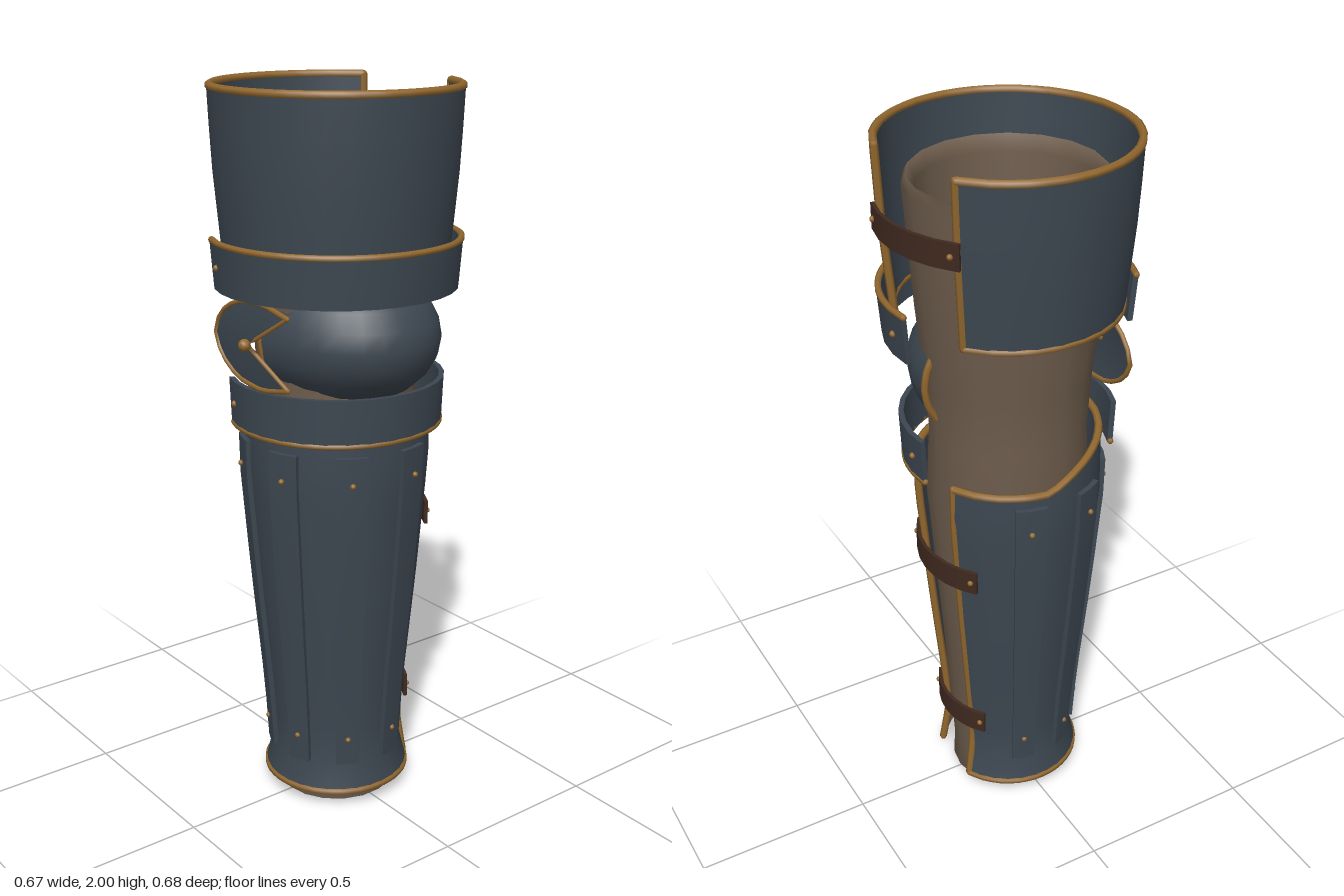
import * as THREE from 'three';
import { toCreasedNormals } from 'three/addons/utils/BufferGeometryUtils.js';

const mat = (name, color, side = THREE.FrontSide) => {
  const m = new THREE.MeshStandardMaterial({ color, side });
  m.name = name;
  return m;
};
const rad = THREE.MathUtils.degToRad;

// angle 0 faces the front (+z), 90 faces +x
const polar = (deg, r, y) => new THREE.Vector3(r * Math.sin(rad(deg)), y, r * Math.cos(rad(deg)));

// linear profile: list of [y, radius]
const profile = (pts) => (y) => {
  if (y <= pts[0][0]) return pts[0][1];
  for (let i = 1; i < pts.length; i++) {
    const [y0, r0] = pts[i - 1], [y1, r1] = pts[i];
    if (y <= y1) return r0 + (r1 - r0) * (y - y0) / (y1 - y0);
  }
  return pts[pts.length - 1][1];
};

// joins closed cross-sections swept from angle a0 to a1, with end caps
function sweep(a0, a1, section) {
  const n = Math.max(2, Math.ceil((a1 - a0) / 12));
  const loops = [];
  for (let i = 0; i <= n; i++) loops.push(section(a0 + (a1 - a0) * i / n));
  const m = loops[0].length, pos = [];
  const tri = (...v) => v.forEach((p) => pos.push(p.x, p.y, p.z));
  const quad = (a, b, c, d) => { tri(a, b, c); tri(a, c, d); };
  for (let i = 0; i < n; i++)
    for (let j = 0; j < m; j++) {
      const k = (j + 1) % m;
      quad(loops[i][j], loops[i + 1][j], loops[i + 1][k], loops[i][k]);
    }
  for (let j = 0; j < m / 2 - 1; j++) {
    const s = loops[0], e = loops[n];
    quad(s[j], s[j + 1], s[m - 2 - j], s[m - 1 - j]);
    quad(e[j], e[m - 1 - j], e[m - 2 - j], e[j + 1]);
  }
  const g = new THREE.BufferGeometry();
  g.setAttribute('position', new THREE.Float32BufferAttribute(pos, 3));
  return toCreasedNormals(g, 0.7);
}

// curved plate of given thickness between heights low and high(angle)
function plate(a0, a1, low, high, radius, thick, rows = 1) {
  return sweep(a0, a1, (a) => {
    const out = [], inn = [], top = high(a);
    for (let j = 0; j <= rows; j++) {
      const y = low + (top - low) * j / rows, r = radius(y);
      out.push(polar(a, r, y));
      inn.unshift(polar(a, r - thick, y));
    }
    return [...out, ...inn];
  });
}

export function createModel() {
  const model = new THREE.Group();
  const steel = mat('dark blue steel', 0x3d4751);
  const steelThin = mat('dark blue steel sheet', 0x3d4751, THREE.DoubleSide);
  const brass = mat('aged brass', 0x92682f);
  const cloth = mat('brown cloth', 0x6d5c4c, THREE.DoubleSide);
  const leather = mat('dark leather', 0x402a20, THREE.DoubleSide);

  const add = (name, geo, material, parent = model) => {
    const mesh = new THREE.Mesh(geo, material);
    mesh.name = name;
    parent.add(mesh);
    return mesh;
  };
  const group = (name) => {
    const g = new THREE.Group();
    g.name = name;
    model.add(g);
    return g;
  };
  const trim = (name, pts, parent, r = 0.011, closed = false) => {
    const curve = new THREE.CatmullRomCurve3(pts, closed, 'catmullrom', 0.3);
    add(name, new THREE.TubeGeometry(curve, pts.length * 2, r, 6, closed), brass, parent);
    if (!closed) for (const p of [pts[0], pts[pts.length - 1]])
      add(name + 'End', new THREE.SphereGeometry(r, 6, 4), brass, parent).position.copy(p);
  };
  const arc = (a0, a1, r, y) => Array.from({ length: 21 }, (_, i) => {
    const a = a0 + (a1 - a0) * i / 20, h = typeof y === 'function' ? y(a) : y;
    return polar(a, r(h) - 0.006, h);
  });
  const upright = (a, r, y0, y1) => Array.from({ length: 9 }, (_, i) => {
    const y = y0 + (y1 - y0) * i / 8;
    return polar(a, r(y) - 0.006, y);
  });
  const rivet = (p, parent, r = 0.009) =>
    add('rivet', new THREE.SphereGeometry(r, 8, 6), brass, parent).position.copy(p);

  // padded cloth sleeve with inner wall
  const sleeve = [[0.125, 0.02], [0.15, 0], [0.168, 0.005], [0.165, 0.1], [0.19, 0.5], [0.225, 1],
    [0.213, 1.2], [0.222, 1.35], [0.24, 1.55], [0.262, 1.88], [0.25, 1.9], [0.232, 1.86],
    [0.215, 1.5], [0.19, 1.2], [0.2, 1], [0.165, 0.5], [0.125, 0.02]];
  add('clothSleeve', new THREE.LatheGeometry(sleeve.map((p) => new THREE.Vector2(...p)), 18), cloth);

  // open cuff at the top
  const cuff = group('thighCuff');
  const cuffR = profile([[1.555, 0.3], [1.8, 0.322], [1.99, 0.33]]);
  add('thighPlate', plate(-141, 164, 1.555, () => 1.99, cuffR, 0.014, 4), steel, cuff);
  trim('thighTopTrim', arc(-141, 164, cuffR, 1.99), cuff);
  trim('thighBottomTrim', arc(-141, 164, cuffR, 1.555), cuff);
  for (const a of [-141, 164]) trim('thighSideTrim', upright(a, cuffR, 1.555, 1.99), cuff);

  // two articulated bands around the joint
  const bands = [
    ['upperBand', 1.475, 1.605, 0.325, 0.335, 1.605],
    ['lowerBand', 1.11, 1.235, 0.287, 0.292, 1.11],
  ];
  for (const [name, y0, y1, r0, r1, edge] of bands) {
    const g = group(name), r = profile([[y0, r0], [y1, r1]]);
    add(name + 'Plate', plate(-25, 190, y0, () => y1, r, 0.014), steel, g);
    trim(name + 'Trim', arc(-25, 190, r, edge), g, 0.009);
    for (const a of [-16, 181]) rivet(polar(a, r(y0 + 0.065), (y0 + y1) / 2), g);
  }

  // domed half-shell over the joint
  const dome = group('jointDome');
  const domePoint = (a, t, s = 1) => new THREE.Vector3(
    0.32 * s * Math.sin(t) * Math.sin(rad(a)), 1.355 - 0.2 * s * Math.cos(t), 0.25 * s * Math.sin(t) * Math.cos(rad(a)));
  const t0 = 0.32, t1 = Math.PI - t0;
  const rib = (a, s) => Array.from({ length: 11 }, (_, i) => domePoint(a, t0 + (t1 - t0) * i / 10, s));
  add('domeShell', sweep(0, 180, (a) => [...rib(a, 1), ...rib(a, 0.95).reverse()]), steel, dome);
  for (const a of [0, 180]) trim('domeSideTrim', rib(a, 0.98), dome, 0.01);
  for (const t of [t0, t1])
    trim('domeHoleTrim', Array.from({ length: 13 }, (_, i) => domePoint(i * 15, t, 0.98)), dome, 0.01);

  // notched fan plate in front of the dome
  const fan = group('fanPlate');
  const hub = new THREE.Vector3(0.02, 1.358, 0.302);
  const rim = [[0.17, 1.45], [0.06, 1.468], [-0.05, 1.457], [-0.125, 1.415], [-0.155, 1.358],
    [-0.125, 1.3], [-0.05, 1.255], [0.06, 1.243], [0.17, 1.265]]
    .map(([x, y]) => new THREE.Vector3(x, y, 0.282));
  const fanGeo = new THREE.BufferGeometry().setFromPoints([hub, ...rim]);
  fanGeo.setIndex(rim.slice(1).flatMap((_, i) => [0, i + 1, i + 2]));
  fanGeo.computeVertexNormals();
  add('fanSheet', fanGeo, steelThin, fan);
  trim('fanRimTrim', rim, fan, 0.007);
  for (const p of [rim[0], rim[8]]) trim('fanNotchTrim', [hub, p], fan, 0.006);
  rivet(hub.clone().setZ(0.31), fan, 0.017);

  // shin guard, open at the back, with a raised front edge
  const shin = group('shinGuard');
  const shinR = profile([[0.05, 0.206], [0.12, 0.183], [0.3, 0.193], [0.65, 0.226], [1, 0.254], [1.2, 0.25]]);
  const shinTop = (a) => 1.1 + 0.09 * Math.max(0, Math.cos(rad(a))) ** 0.7;
  add('shinPlate', plate(-155, 152, 0.05, shinTop, shinR, 0.014, 12), steel, shin);
  trim('shinTopTrim', arc(-155, 152, shinR, shinTop), shin);
  trim('shinBottomTrim', arc(-155, 152, shinR, 0.05), shin);
  for (const a of [-155, 152]) trim('shinSideTrim', upright(a, shinR, 0.05, 1.1), shin);

  // riveted splints on the shin guard
  for (let i = 0; i < 6; i++) {
    const a = -106 + 42 * i;
    add('splint', plate(a - 9.5, a + 9.5, 0.135, () => 1.07, (y) => shinR(y) + 0.014, 0.02, 8), steel, shin);
    for (const y of [0.215, 0.995]) rivet(polar(a, shinR(y) + 0.014, y), shin, 0.008);
  }

  // leather straps across the back opening
  for (const [y, r, a0, a1] of [[1.81, 0.338, 162, 221], [0.82, 0.257, 144, 221], [0.275, 0.208, 146, 221]]) {
    add('strap', plate(a0, a1, y - 0.034, () => y + 0.034, () => r, 0.01), leather);
    for (const a of [a0 + 4, a1 - 4]) rivet(polar(a, r, y), model, 0.008);
  }
  return model;
}
